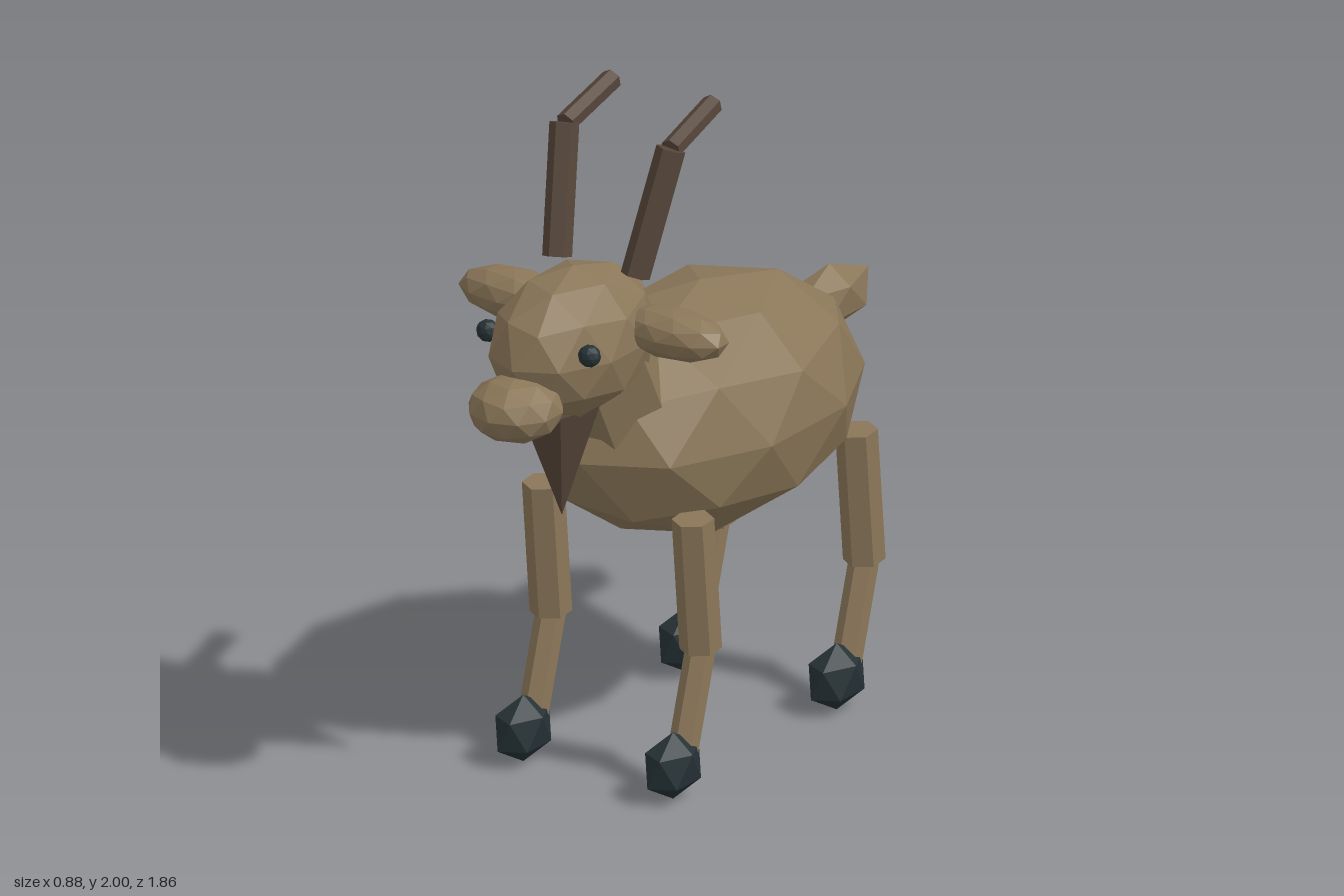
import * as THREE from 'three';

const mat = (name, color) => {
  const m = new THREE.MeshStandardMaterial({ color, flatShading: true });
  m.name = name;
  return m;
};

// Unit icosphere standing on a pole, with one upper ring vertex on +x
function icosphere(detail) {
  const verts = [0, 1, 0, 0, -1, 0], faces = [];
  const r = 2 / Math.sqrt(5), h = 1 / Math.sqrt(5);
  for (let k = 0; k < 5; k++) {
    const a = k * Math.PI * 0.4, b = a + Math.PI / 5;
    verts.push(r * Math.cos(a), h, -r * Math.sin(a));
    verts.push(r * Math.cos(b), -h, -r * Math.sin(b));
    const up = 2 + 2 * k, low = up + 1;
    const up2 = 2 + 2 * ((k + 1) % 5), low2 = up2 + 1;
    faces.push(0, up, up2, up, low, up2, up2, low, low2, 1, low2, low);
  }
  const g = new THREE.PolyhedronGeometry(verts, faces, 1, detail);
  g.computeVertexNormals();
  return g;
}

export function createModel() {
  const goat = new THREE.Group();
  goat.name = 'goat';
  const coat = mat('brown coat', 0x8b7759);
  const horn = mat('dark horn', 0x56463a);
  const dark = mat('hoof and eye', 0x263236);
  const fine = icosphere(1), coarse = icosphere(0);

  const add = (name, geometry, material, pos, parent = goat) => {
    const m = new THREE.Mesh(geometry, material);
    m.name = name;
    m.position.set(...pos);
    parent.add(m);
    return m;
  };
  const blob = (name, geometry, material, pos, radii, parent) =>
    add(name, geometry, material, pos, parent).scale.set(...radii);

  // Tapered prism between two points
  const limb = (name, material, from, to, rFrom, rTo, sides = 6, parent = goat) => {
    const a = new THREE.Vector3(...from), b = new THREE.Vector3(...to);
    const dir = b.clone().sub(a);
    const g = new THREE.CylinderGeometry(rTo, rFrom, dir.length(), sides).toNonIndexed();
    g.computeVertexNormals();
    const m = add(name, g, material, a.add(b).multiplyScalar(0.5).toArray(), parent);
    m.quaternion.setFromUnitVectors(new THREE.Vector3(0, 1, 0), dir.normalize());
    return m;
  };

  // Trunk, neck and tail
  blob('body', fine, coat, [0, 0.98, -0.127], [0.389, 0.36, 0.6]);
  limb('neck', coat, [0, 0.97, 0.225], [0, 1.36, 0.43], 0.17, 0.17).rotateY(Math.PI / 6);
  blob('tail', coarse, coat, [0, 1.075, -0.772], [0.08, 0.1, 0.19]);

  // Head
  blob('head', fine, coat, [0, 1.37, 0.505], [0.203, 0.22, 0.305]);
  blob('muzzle', fine, coat, [0, 1.255, 0.79], [0.137, 0.095, 0.14]);
  limb('beard', horn, [0, 1.2, 0.575], [0, 0.86, 0.561], 0.118, 0.001, 5);

  for (const s of [1, -1]) {
    const side = s > 0 ? 'left' : 'right';
    blob(side + 'Ear', fine, coat, [s * 0.268, 1.412, 0.402], [0.18, 0.074, 0.088]);
    blob(side + 'Eye', fine, dark, [s * 0.172, 1.412, 0.677], [0.034, 0.033, 0.031]);

    // Two-piece horn bent backwards
    limb(side + 'HornBase', horn, [s * 0.132, 1.55, 0.39], [s * 0.18, 1.908, 0.283], 0.042, 0.042);
    limb(side + 'HornTip', horn, [s * 0.178, 1.905, 0.28], [s * 0.17, 1.968, 0.06], 0.031, 0.031);

    // Legs with hooves
    for (const [end, z] of [['Front', 0], ['Rear', -0.815]]) {
      const leg = new THREE.Group();
      leg.name = side + end + 'Leg';
      leg.position.set(s * 0.253, 0, z);
      limb('upperLeg', coat, [0, 0.81, 0.281], [0, 0.408, 0.242], 0.06, 0.06, 6, leg);
      limb('lowerLeg', coat, [0, 0.402, 0.245], [0, 0.13, 0.33], 0.043, 0.043, 6, leg);
      blob('hoof', coarse, dark, [0, 0.1, 0.38], [0.074, 0.1, 0.115], leg);
      goat.add(leg);
    }
  }
  return goat;
}
